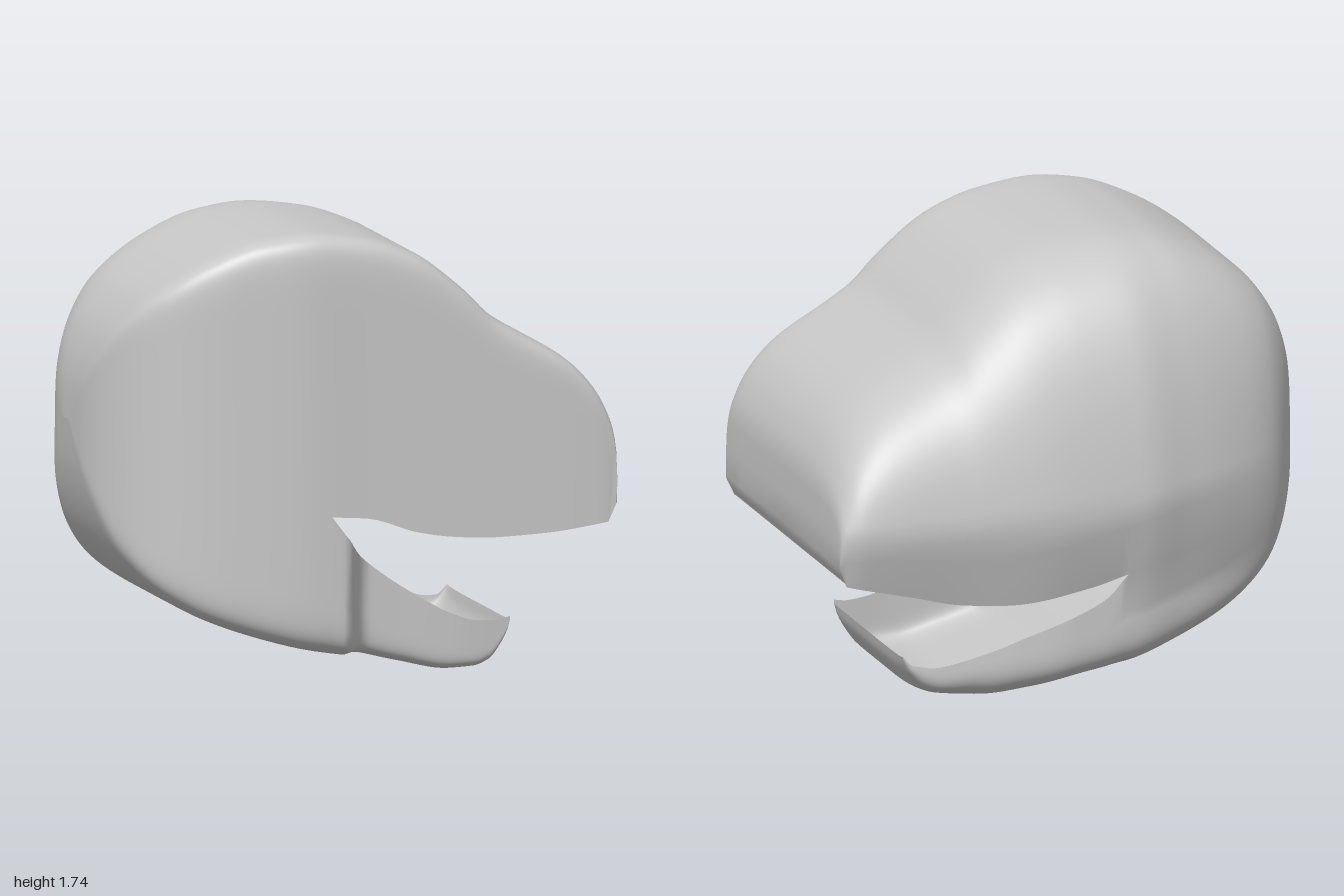
import * as THREE from 'three';
import { mergeVertices } from 'three/addons/utils/BufferGeometryUtils.js';

const { smoothstep } = THREE.MathUtils;

// Smooth curve through [x, value] points without overshoot
function curve(...p) {
  const n = p.length;
  const d = p.slice(1).map((q, i) => (q[1] - p[i][1]) / (q[0] - p[i][0]));
  const m = p.map((_, i) => {
    if (i === 0) return d[0];
    if (i === n - 1) return d[n - 2];
    return d[i - 1] * d[i] <= 0 ? 0 : (2 * d[i - 1] * d[i]) / (d[i - 1] + d[i]);
  });
  return x => {
    if (x <= p[0][0]) return p[0][1];
    if (x >= p[n - 1][0]) return p[n - 1][1];
    let i = 0;
    while (x > p[i + 1][0]) i++;
    const h = p[i + 1][0] - p[i][0], t = (x - p[i][0]) / h, t2 = t * t, t3 = t2 * t;
    return (2 * t3 - 3 * t2 + 1) * p[i][1] + (t3 - 2 * t2 + t) * h * m[i]
      + (3 * t2 - 2 * t3) * p[i + 1][1] + (t3 - t2) * h * m[i + 1];
  };
}

const CORNER = -0.15; // x of the mouth corner

// Skull and snout: crown, widths and upper lip
const crown = curve([-1, 0.98], [-0.99, 1.12], [-0.95, 1.28], [-0.9, 1.385], [-0.8, 1.51], [-0.6, 1.645],
  [-0.4, 1.72], [-0.22, 1.74], [0, 1.715], [0.2, 1.645], [0.4, 1.495], [0.5, 1.395], [0.6, 1.33],
  [0.8, 1.21], [0.9, 1.11], [0.97, 0.98], [0.99, 0.89], [1, 0.585]);
const frontZ = curve([-1, 0.1], [-0.99, 0.22], [-0.95, 0.36], [-0.85, 0.51], [-0.7, 0.61], [-0.5, 0.67],
  [-0.2, 0.71], [0, 0.705], [0.9, 0.69], [1, 0.68]);
const backZ = curve([-1, 0.04], [-0.99, -0.07], [-0.95, -0.22], [-0.8, -0.46], [-0.6, -0.58], [-0.4, -0.655],
  [-0.2, -0.712], [0.1, -0.72], [0.5, -0.68], [0.9, -0.64], [1, -0.605]);
const upperLipFront = curve([-1, 0.98], [-0.95, 0.9], [-0.8, 0.76], [CORNER, 0.66], [0, 0.645], [0.2, 0.58],
  [0.35, 0.555], [0.5, 0.545], [0.7, 0.55], [1, 0.583]);
const upperLipBack = curve([-1, 0.98], [-0.95, 0.9], [-0.8, 0.72], [CORNER, 0.53], [0, 0.488], [0.3, 0.445],
  [0.5, 0.46], [0.7, 0.51], [1, 0.583]);

// Jaw: underside, narrowed widths and lower lip
const under = curve([-1, 0.98], [-0.99, 0.82], [-0.95, 0.63], [-0.9, 0.51], [-0.8, 0.385], [-0.7, 0.31],
  [-0.6, 0.255], [-0.4, 0.18], [-0.2, 0.125], [0, 0.09], [0.2, 0.04], [0.4, 0], [0.5, 0.003],
  [0.56, 0.025], [0.6, 0.075], [0.63, 0.135], [0.64, 0.18]);
const jawFrontZ = curve([-0.08, 0.71], [0.06, 0.5], [0.4, 0.49], [0.64, 0.46]);
const jawBackZ = curve([CORNER, -0.712], [0.05, -0.71], [0.27, -0.655], [0.45, -0.52], [0.57, -0.38], [0.64, -0.35]);
const lowerLipFront = curve([CORNER, 0.66], [-0.08, 0.57], [0, 0.49], [0.1, 0.407], [0.2, 0.337], [0.3, 0.275],
  [0.4, 0.222], [0.5, 0.19], [0.58, 0.185], [0.64, 0.195]);
const lowerLipBack = curve([CORNER, 0.53], [-0.08, 0.44], [0, 0.395], [0.1, 0.355], [0.27, 0.285], [0.45, 0.19],
  [0.55, 0.145], [0.6, 0.15], [0.64, 0.19]);

// Squareness of the back edges above and below
const crownPower = curve([0.1, 3.6], [0.9, 4.2]);
const underPower = curve([-0.2, 6.5], [0.1, 5], [0.4, 3.2]);

// x positions, denser towards both ends
function stations(end) {
  const xs = [];
  for (let i = 0; i <= 40; i++) xs.push(-1 + (1 + CORNER) * (1 - Math.cos(i / 40 * Math.PI / 2)));
  for (let i = 1; i <= 50; i++) xs.push(CORNER + (end - CORNER) * Math.sin(i / 50 * Math.PI / 2));
  return xs;
}

// Open half shell: arches running from the front lip to the back lip
function halfShell(positions, indices, xs, section, flip) {
  const N = 72, base = positions.length / 3;
  xs.forEach((x, i) => {
    const s = section(x), mid = (s.front > 0.2 ? 0.07 : (s.front + s.back) / 2);
    for (let j = 0; j <= N; j++) {
      const t = j / N * Math.PI, isFront = j <= N / 2;
      const n = isFront ? s.frontPower : s.backPower;
      const up = (j === 0 || j === N) ? 0 : Math.abs(Math.sin(t)) ** (2 / n);
      const out = j === N / 2 ? 0 : Math.abs(Math.cos(t)) ** (2 / n);
      const lip = isFront ? s.lipFront : s.lipBack;
      const y = lip + (s.edge - lip) * up;
      // the back wall draws in below the cheek and leans in above it
      const cheek = isFront ? 1
        : 0.86 + 0.14 * smoothstep(y, 0.4, 0.8) - 0.15 * Math.max(0, y - 0.8);
      const z = mid + ((isFront ? s.front : s.back * cheek) - mid) * out;
      // the snout tip tucks in slightly towards the lip
      const tip = 0.96 + 0.04 * smoothstep(y, 0.57, 0.68);
      positions.push(flip ? x : Math.min(x, tip), y, z);
      if (i && j) {
        const d = base + i * (N + 1) + j, c = d - 1, b = d - N - 1, a = b - 1;
        if (flip) indices.push(a, b, c, b, d, c);
        else indices.push(a, c, b, b, c, d);
      }
    }
  });
}

export function createModel() {
  const grey = new THREE.MeshStandardMaterial({ color: 0xc8c8c8, side: THREE.DoubleSide });
  grey.name = 'grey';

  const positions = [], indices = [];
  // Skull and snout
  halfShell(positions, indices, stations(1), x => ({
    edge: crown(x), front: frontZ(x), back: backZ(x),
    lipFront: upperLipFront(x), lipBack: upperLipBack(x),
    frontPower: 20, backPower: crownPower(x),
  }), false);
  // Lower skull and jaw, joined to the upper half behind the mouth corner
  halfShell(positions, indices, stations(0.64), x => {
    const jaw = x > CORNER + 1e-6;
    return {
      edge: under(x),
      front: jaw ? Math.min(frontZ(x), jawFrontZ(x)) : frontZ(x),
      back: jaw ? Math.max(backZ(x), jawBackZ(x)) : backZ(x),
      lipFront: (jaw ? lowerLipFront : upperLipFront)(x),
      lipBack: (jaw ? lowerLipBack : upperLipBack)(x),
      frontPower: 11, backPower: underPower(x),
    };
  }, true);

  let geometry = new THREE.BufferGeometry();
  geometry.setAttribute('position', new THREE.Float32BufferAttribute(positions, 3));
  geometry.setIndex(indices);
  geometry = mergeVertices(geometry, 1e-4);
  geometry.computeVertexNormals();

  const shell = new THREE.Mesh(geometry, grey);
  shell.name = 'headShell';
  const group = new THREE.Group();
  group.name = 'openMouthedHead';
  group.add(shell);
  return group;
}
